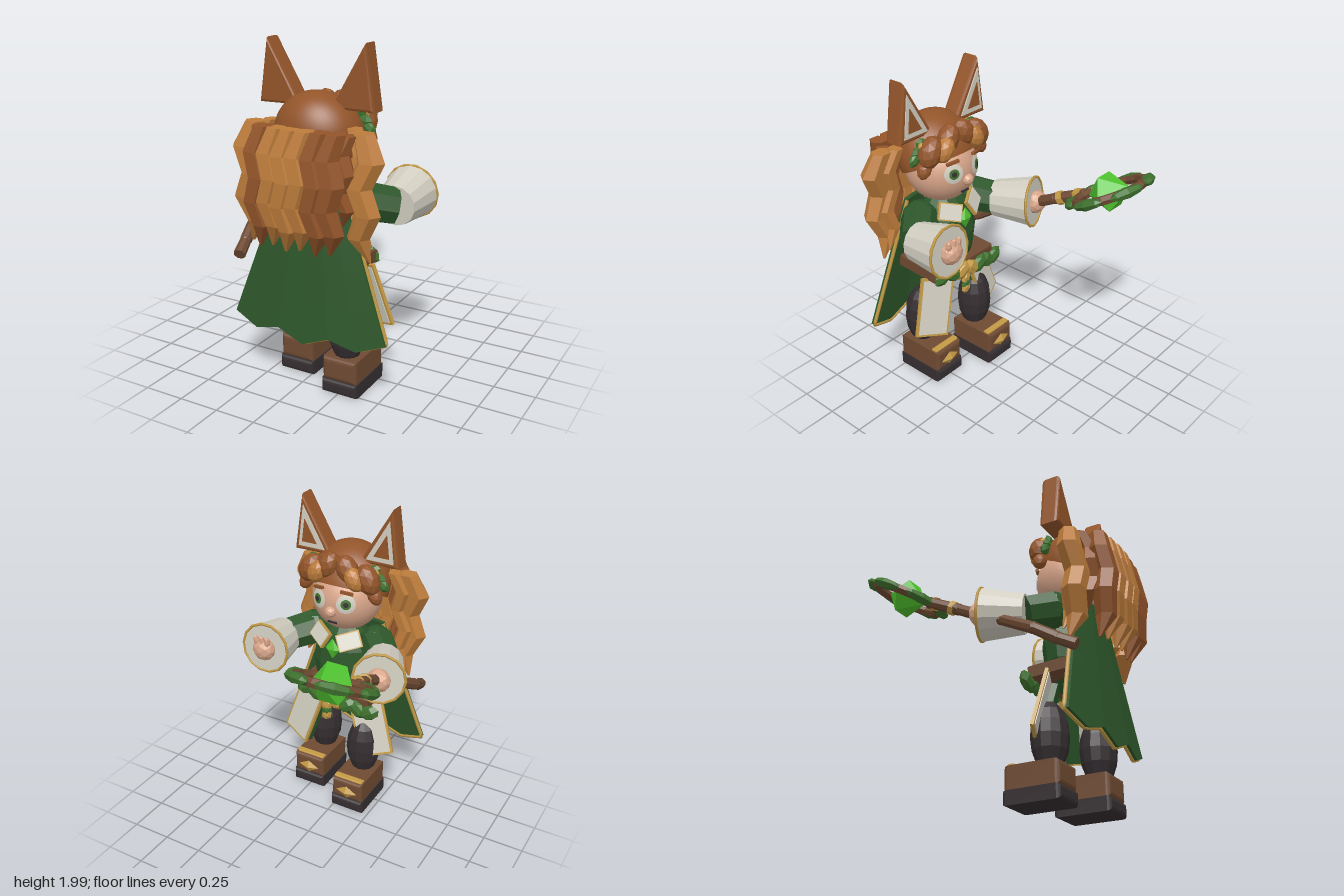
import * as THREE from 'three';

const mat = (name, color) => Object.assign(new THREE.MeshStandardMaterial({ color }), { name });
const M = {
  hair: mat('chestnut', 0x93552a), light: mat('ginger', 0xbd7c3b), green: mat('forest green', 0x2d562a),
  leaf: mat('leaf green', 0x40722f), gem: mat('bright green', 0x4fc22e), skin: mat('skin', 0xd9a68a),
  pale: mat('pale cloth', 0xd2cec1), gold: mat('gold', 0xc39a45), dark: mat('charcoal', 0x352e31),
  wood: mat('wood brown', 0x6e4a32),
};
const CX = 0.08; // the body's middle
const V = (x, y, z) => new THREE.Vector3(x, y, z);
const UP = V(0, 1, 0);

export function createModel() {
  const root = new THREE.Group();
  root.name = 'forestMage';

  const add = (name, geo, material, pos = [0, 0, 0], scale = [1, 1, 1], rot = [0, 0, 0], parent = root) => {
    const m = new THREE.Mesh(geo, material);
    m.name = name;
    m.position.set(...pos);
    m.scale.set(...scale);
    m.rotation.set(...rot);
    parent.add(m);
    return m;
  };
  const flat = (geo) => {
    const g = geo.index ? geo.toNonIndexed() : geo;
    g.computeVertexNormals();
    return g;
  };
  const ball = (w = 9, h = 6) => flat(new THREE.SphereGeometry(1, w, h));
  const rock = () => flat(new THREE.IcosahedronGeometry(1, 1));
  const leafShape = () => flat(new THREE.SphereGeometry(1, 6, 4));
  const limb = (name, a, b, ra, rb, material, sides = 10) => {
    const d = b.clone().sub(a);
    const m = add(name, flat(new THREE.CylinderGeometry(rb, ra, d.length(), sides)), material,
      a.clone().add(b).multiplyScalar(0.5).toArray());
    m.quaternion.setFromUnitVectors(UP, d.normalize());
  };
  const bevelBox = (w, h, d, b) => {
    const s = new THREE.Shape();
    const x = w / 2 - b, y = h / 2 - b;
    s.moveTo(-x, -y).lineTo(x, -y).lineTo(x, y).lineTo(-x, y);
    return flat(new THREE.ExtrudeGeometry(s, { depth: d - 2 * b, bevelSize: b, bevelThickness: b, bevelSegments: 3 })
      .translate(0, 0, b - d / 2));
  };
  const line = (name, pts, r, material) => {
    const path = new THREE.CurvePath();
    for (let i = 1; i < pts.length; i++) path.add(new THREE.LineCurve3(pts[i - 1], pts[i]));
    add(name, new THREE.TubeGeometry(path, pts.length * 10, r, 5), material);
  };

  // Head, face and smooth cap of hair
  const HEAD = [CX, 1.40, 0.385];
  add('head', new THREE.SphereGeometry(0.22, 28, 20), M.skin, HEAD);
  add('hairCap', new THREE.SphereGeometry(1, 32, 20, 0, Math.PI * 2, 0, 1.75), M.hair, [CX, 1.475, 0.41],
    [0.258, 0.262, 0.22], [0.45, 0, 0]);
  add('nose', rock(), M.skin, [CX, 1.365, 0.17], [0.037, 0.037, 0.037]);
  add('mouth', new THREE.BoxGeometry(0.06, 0.01, 0.012), M.dark, [CX, 1.285, 0.193]);
  for (const s of [-1, 1]) {
    const dir = V(s * 0.42, 0.11, -0.88).normalize();
    [['eyeWhite', M.pale, 0.27, 0.223], ['iris', M.leaf, 0.14, 0.226], ['pupil', M.dark, 0.07, 0.229]]
      .forEach(([n, m, a, r]) => add(n, new THREE.SphereGeometry(r, 18, 3, 0, Math.PI * 2, 0, a), m, HEAD)
        .quaternion.setFromUnitVectors(UP, dir));
    add('eyebrow', new THREE.BoxGeometry(0.08, 0.016, 0.02), M.hair, [CX + s * 0.095, 1.497, 0.195], [1, 1, 1], [0, -s * 0.4, -s * 0.2]);

    // Pointed ears with pale and brown inlays
    const tri = (k) => {
      const p = [[0.115, 1.655], [0.335, 1.655], [0.295, 1.97]], c = [0.26, 1.74];
      return new THREE.Shape(p.map(([x, y]) => new THREE.Vector2(CX + s * (c[0] + (x - c[0]) * k), c[1] + (y - c[1]) * k)));
    };
    add('ear', flat(new THREE.ExtrudeGeometry(tri(1), { depth: 0.08, bevelSize: 0.018, bevelThickness: 0.02, bevelSegments: 2 })),
      M.hair, [0, 0, 0.365]);
    const plate = { depth: 0.008, bevelEnabled: false };
    add('earRim', new THREE.ExtrudeGeometry(tri(0.82), plate), M.pale, [0, 0, 0.338]);
    add('earInner', new THREE.ExtrudeGeometry(tri(0.46), plate), M.hair, [0, 0, 0.332]);
    add('earBead', rock(), M.gold, [CX + s * 0.225, 1.61, 0.305], [0.024, 0.024, 0.024]);
    for (let i = 0; i < 3; i++)
      add('earLeaf', leafShape(), M.leaf, [CX + s * (0.2 + i * 0.03), 1.61 - i * 0.04, 0.335], [0.05, 0.034, 0.025], [0, 0, s * (0.5 - i * 0.6)]);

    // Fringe: big swept curls with a ginger one between
    [[0.065, 1.62, 0.255, 0.095, M.hair], [0.195, 1.575, 0.27, 0.1, M.hair],
      [0.125, 1.58, 0.225, 0.08, M.light], [0.235, 1.475, 0.285, 0.06, M.hair]]
      .forEach(([x, y, z, r, m]) => add('fringeCurl', rock(), m, [CX + s * x, y, z], [r * 0.72, r, r * 0.7], [0, 0, s * 0.5]));
  }

  // Long zigzag locks: six-sided sections stacked down to a point
  const lock = (x, z, w, d, top, bottom, sway, lean, material) => {
    const N = 6, R = 5, pos = [], idx = [];
    for (let r = 0; r <= R; r++) {
      const t = r / R, k = [0.8, 1, 1, 0.95, 0.85, 0.1][r];
      const ox = (r % 2 ? -sway : sway) + lean * t, oz = Math.sin(t * Math.PI) * 0.045;
      for (let j = 0; j < N; j++) {
        const a = (j / N) * Math.PI * 2;
        pos.push(x + ox + Math.cos(a) * w * k, top + (bottom - top) * t, z + oz + Math.sin(a) * d * k);
      }
    }
    for (let r = 0; r < R; r++) for (let j = 0; j < N; j++) {
      const a = r * N + j, b = r * N + (j + 1) % N;
      idx.push(a, b, b + N, a, b + N, a + N);
    }
    for (let j = 1; j < N - 1; j++) idx.push(0, j + 1, j, R * N, R * N + j, R * N + j + 1);
    const g = new THREE.BufferGeometry();
    g.setAttribute('position', new THREE.Float32BufferAttribute(pos, 3));
    g.setIndex(idx);
    add('hairLock', flat(g), material);
  };
  [M.hair, M.light, M.light, M.light, M.hair, M.hair].forEach((m, i) =>
    lock(CX + (i - 2.5) * 0.088, 0.672 - Math.abs(i - 2.5) * 0.008, 0.075, 0.07, 1.56, 0.88 + (i % 2) * 0.02, 0.02, 0, m));
  for (const s of [-1, 1]) {
    lock(CX + s * 0.26, 0.58, 0.05, 0.06, 1.54, 1.05, s * 0.02, 0, M.hair);
    lock(CX + s * 0.365, 0.53, 0.08, 0.07, 1.55, 0.85, -s * 0.03, -s * 0.02, M.light);
    lock(CX + s * 0.285, 0.49, 0.055, 0.06, 1.56, 0.92, -s * 0.025, s * 0.05, M.light);
  }

  // Torso, collar and pendant
  add('torso', ball(12, 8), M.green, [CX, 0.96, 0.365], [0.21, 0.3, 0.165]);
  add('neck', flat(new THREE.CylinderGeometry(0.09, 0.12, 0.1, 10)), M.skin, [CX, 1.2, 0.38]);
  for (const s of [-1, 1]) {
    add('collarTrim', new THREE.BoxGeometry(0.15, 0.11, 0.022), M.gold, [CX + s * 0.1, 1.165, 0.225], [1, 1, 1], [0.5, -s * 0.35, s * 0.5]);
    add('collar', new THREE.BoxGeometry(0.135, 0.095, 0.03), M.pale, [CX + s * 0.1, 1.165, 0.223], [1, 1, 1], [0.5, -s * 0.35, s * 0.5]);
  }
  add('pendant', flat(new THREE.SphereGeometry(1, 6, 2)), M.gem, [CX, 1.1, 0.195], [0.05, 0.07, 0.025]);

  // Cape: a slab flared, bowed and scalloped by column
  const hem = [0.40, 0.34, 0.385, 0.32, 0.385, 0.34, 0.40];
  const capePoint = (u, v, dz) => { // u 0..1 across, v 0 at hem, 1 at neck
    const x = u * 2 - 1, low = hem[Math.round(u * 6)];
    return V(CX + x * (0.49 - 0.29 * v), low + (1.2 - low) * v, 0.555 + (1 - x * x) * 0.055 * (1 - 0.5 * v) - 0.06 * v + dz);
  };
  const cape = new THREE.BoxGeometry(1, 1, 0.03, 6, 4, 1), cp = cape.attributes.position;
  for (let i = 0; i < cp.count; i++) {
    const p = capePoint(cp.getX(i) + 0.5, cp.getY(i) + 0.5, cp.getZ(i));
    cp.setXYZ(i, p.x, p.y, p.z);
  }
  add('cape', flat(cape), M.green);
  line('capeTrim', [capePoint(0, 1, -0.012), ...hem.map((_, i) => capePoint(i / 6, 0, -0.012)), capePoint(1, 1, -0.012)], 0.012, M.gold);

  // Square belt with a slanting garland of leaves
  add('belt', bevelBox(0.5, 0.07, 0.35, 0.01), M.wood, [CX, 0.77, 0.375], [1, 1, 1], [-0.05, 0, 0]);
  for (let i = 0; i < 7; i++) {
    const t = i / 3 - 1;
    add('garlandLeaf', leafShape(), i === 3 || i === 4 ? M.gold : M.leaf,
      [CX - 0.03 + t * 0.23, 0.735 + t * 0.03, 0.185 + t * t * 0.02], [0.075, 0.05, 0.036], [0, 0, i % 2 ? 0.7 : -0.5]);
  }
  for (let i = 0; i < 3; i++)
    add('garlandTail', leafShape(), i % 2 ? M.leaf : M.gold, [CX + 0.03, 0.69 - i * 0.035, 0.175], [0.035, 0.042, 0.022], [0, 0, 0.5]);

  for (const s of [-1, 1]) {
    // Hip panels with gold border and green backing, swinging with the stride
    const panel = new THREE.Group();
    panel.name = 'hipPanel';
    panel.position.set(CX + s * 0.24, 0.54, s > 0 ? 0.25 : 0.285);
    panel.rotation.set(0.2, -s * 0.32, s * 0.25, 'YXZ');
    root.add(panel);
    add('panelTrim', new THREE.BoxGeometry(0.22, 0.38, 0.02), M.gold, [0, 0, 0], [1, 1, 1], [0, 0, 0], panel);
    add('panelCloth', new THREE.BoxGeometry(0.19, 0.35, 0.03), M.pale, [0, 0, 0], [1, 1, 1], [0, 0, 0], panel);
    add('panelBacking', new THREE.BoxGeometry(0.09, 0.36, 0.035), M.green, [-s * 0.06, 0, 0.033], [1, 1, 1], [0, 0, 0], panel);

    // Legs and boots in a walking stance
    const x = CX + s * 0.18, z = s > 0 ? 0.36 : 0.235;
    add('leg', ball(12, 8), M.dark, [x, 0.38, z + 0.065], [0.112, 0.21, 0.11]);
    add('sole', bevelBox(0.228, 0.085, 0.352, 0.025), M.dark, [x, 0.0425, z]);
    add('boot', bevelBox(0.216, 0.14, 0.338, 0.025), M.wood, [x, 0.152, z]);
    add('bootStrap', bevelBox(0.2, 0.028, 0.045, 0.008), M.gold, [x, 0.218, z - 0.125]);
    add('bootOrnament', flat(new THREE.SphereGeometry(1, 4, 2)), M.gold, [x, 0.14, z - 0.164], [0.09, 0.052, 0.03]);
  }

  // Arms: sleeve, flared cuff, hand
  const arm = (shoulder, elbow, wrist) => {
    add('shoulder', ball(), M.green, shoulder.toArray(), [0.11, 0.11, 0.11]);
    limb('sleeve', shoulder, elbow, 0.115, 0.108, M.green, 8);
    limb('cuff', elbow, wrist, 0.118, 0.158, M.pale, 14);
    const dir = wrist.clone().sub(elbow).normalize();
    add('cuffRim', new THREE.TorusGeometry(0.157, 0.009, 5, 14), M.gold, wrist.toArray())
      .quaternion.setFromUnitVectors(V(0, 0, 1), dir);
    add('hand', rock(), M.skin, wrist.clone().addScaledVector(dir, 0.015).toArray(), [0.075, 0.075, 0.06]);
  };
  arm(V(0.3, 1.13, 0.36), V(0.45, 1.085, 0.23), V(0.44, 1.105, -0.012));
  arm(V(-0.14, 1.13, 0.36), V(-0.255, 1.085, 0.24), V(-0.34, 1.105, 0));
  for (let i = -1; i <= 1; i++)
    add('finger', ball(7, 5), M.skin, [0.44 + i * 0.036, 1.155, -0.045], [0.02, 0.05, 0.02], [-0.2, 0, -i * 0.15]);

  // Gnarled staff
  const staff = [V(-0.35, 0.77, 0.6), V(-0.375, 0.82, 0.5), V(-0.405, 0.9, 0.37), V(-0.375, 1.02, 0.15),
    V(-0.34, 1.11, -0.02), V(-0.345, 1.18, -0.16), V(-0.385, 1.255, -0.34)];
  for (let i = 1; i < staff.length; i++) {
    limb('staffSegment', staff[i - 1], staff[i], 0.036, 0.033, M.wood, 8);
    add('staffKnot', ball(8, 5), M.wood, staff[i].toArray(), [0.036, 0.036, 0.036]);
  }
  limb('staffBand', V(-0.343, 1.19, -0.185), V(-0.352, 1.205, -0.215), 0.043, 0.043, M.gold, 8);
  limb('staffBand', V(-0.365, 1.245, -0.305), V(-0.36, 1.255, -0.33), 0.043, 0.043, M.gold, 8);

  // Ring with six long leaves and a floating crystal
  const ring = new THREE.Group();
  ring.name = 'staffHead';
  ring.position.set(-0.34, 1.36, -0.545);
  ring.rotation.x = -1.09;
  root.add(ring);
  add('ring', flat(new THREE.TorusGeometry(0.198, 0.028, 6, 16)), M.wood, [0, 0, 0], [1, 1.1, 1], [0, 0, 0], ring);
  for (let i = 0; i < 6; i++) {
    const a = (i / 6) * Math.PI * 2;
    add('ringLeaf', leafShape(), M.leaf, [Math.cos(a) * 0.215, Math.sin(a) * 0.235, 0],
      [0.045, 0.105, 0.034], [0, 0, a], ring);
  }
  add('crystal', flat(new THREE.SphereGeometry(1, 6, 2)), M.gem, [0, 0, 0], [0.118, 0.155, 0.12], [0, 0, 0], ring);

  return root;
}
